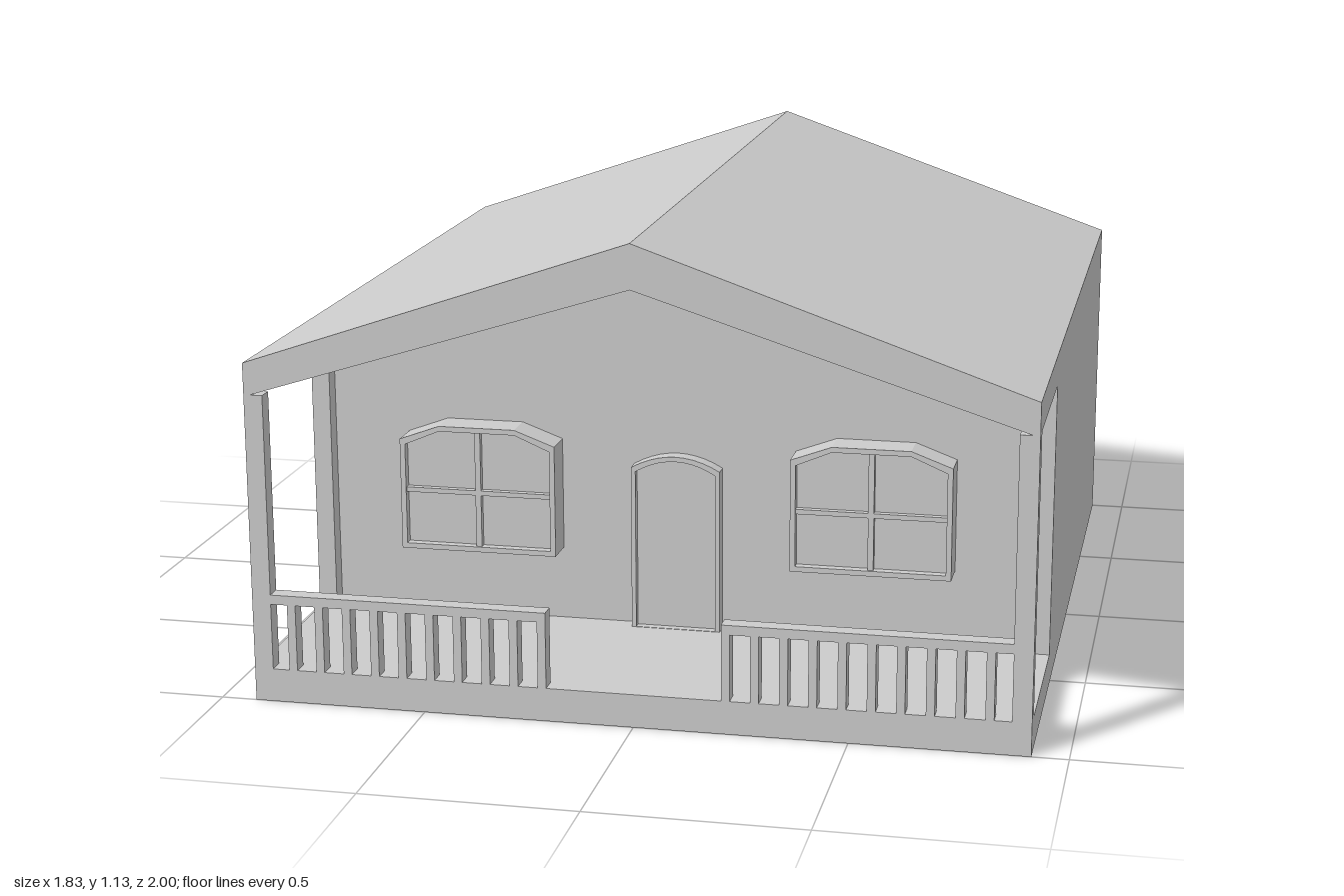
import * as THREE from 'three';

const mat = new THREE.MeshStandardMaterial({ color: 0xcccccc, flatShading: true });

function add(parent, name, geometry) {
  const mesh = new THREE.Mesh(geometry, mat);
  mesh.name = name;
  parent.add(mesh);
  return mesh;
}

// Box given by its two extreme corners
function box(parent, name, x0, x1, y0, y1, z0, z1) {
  const g = new THREE.BoxGeometry(x1 - x0, y1 - y0, z1 - z0);
  g.translate((x0 + x1) / 2, (y0 + y1) / 2, (z0 + z1) / 2);
  return add(parent, name, g);
}

// Outline in x,y extruded from z0 to z1, with an optional hole
function prism(parent, name, points, z0, z1, hole) {
  const toVec = ([x, y]) => new THREE.Vector2(x, y);
  const shape = new THREE.Shape(points.map(toVec));
  if (hole) shape.holes.push(new THREE.Path(hole.map(toVec)));
  const g = new THREE.ExtrudeGeometry(shape, { depth: z1 - z0, bevelEnabled: false });
  g.translate(0, 0, z0);
  return add(parent, name, g);
}

// Doorway outline with a shallow arched top
function doorOutline(w, y0, spring, rise) {
  const pts = [[-w, y0], [w, y0]];
  for (let i = 0; i <= 10; i++) {
    const t = 1 - i / 5;
    pts.push([w * t, spring + rise * (1 - t * t)]);
  }
  return pts;
}

// Window outline with clipped upper corners, shrunk by d
function windowOutline(d) {
  const w = 0.195 - d;
  return [
    [-w, 0.262 + d], [w, 0.262 + d], [w, 0.54 - d],
    [0.095, 0.577 - d], [-0.095, 0.577 - d], [-w, 0.54 - d],
  ];
}

function makeWindow(x) {
  const g = new THREE.Group();
  g.name = 'window';
  g.position.x = x;
  prism(g, 'windowFrame', windowOutline(0), 0.5, 0.582, windowOutline(0.013));
  prism(g, 'windowPane', windowOutline(0.012), 0.5, 0.56);
  box(g, 'windowMullion', -0.007, 0.007, 0.27, 0.57, 0.56, 0.576);
  box(g, 'windowCrossbar', -0.185, 0.185, 0.405, 0.417, 0.56, 0.576);
  return g;
}

export function createModel() {
  const house = new THREE.Group();
  house.name = 'house';
  const W = 0.915, FLOOR = 0.08, EAVE = 0.745, WALL = 0.5;

  // Base slab, also the porch floor
  box(house, 'base', -W, W, 0, FLOOR, -1, 1);

  // Closed body behind the porch, with its gable
  prism(house, 'body', [
    [-W, FLOOR], [W, FLOOR], [W, EAVE], [0.9, EAVE], [0, 1.03], [-0.9, EAVE], [-W, EAVE],
  ], -1, WALL);

  // Gabled roof running over the porch
  prism(house, 'roof', [
    [-W, EAVE], [-0.9, EAVE], [0, 1.03], [0.9, EAVE], [W, EAVE], [W, 0.82], [0, 1.135], [-W, 0.82],
  ], -1, 1);

  // Porch posts, railings and windows on both sides
  for (const s of [-1, 1]) {
    const span = (a, b) => (s > 0 ? [a, b] : [-b, -a]);
    box(house, 'frontPost', ...span(0.87, W), FLOOR, EAVE, 0.96, 1);
    box(house, 'rearPost', ...span(0.87, W), FLOOR, EAVE, WALL, 0.542);

    const railing = new THREE.Group();
    railing.name = 'railing';
    house.add(railing);
    box(railing, 'handrail', ...span(0.206, 0.87), 0.24, 0.263, 0.96, 1);
    for (let i = 0; i < 10; i++) {
      const x = 0.82 - i * 0.0671;
      box(railing, 'baluster', ...span(x - 0.01, x + 0.01), FLOOR, 0.24, 0.96, 1);
    }

    house.add(makeWindow(s * 0.485));
  }

  // Arched door with its frame
  const door = new THREE.Group();
  door.name = 'door';
  house.add(door);
  const inner = doorOutline(0.099, FLOOR + 0.001, 0.477, 0.03);
  const outer = doorOutline(0.11, FLOOR, 0.487, 0.032);
  prism(door, 'doorFrame', outer, WALL, 0.538, inner);
  prism(door, 'doorPanel', inner, WALL, 0.518);

  return house;
}
